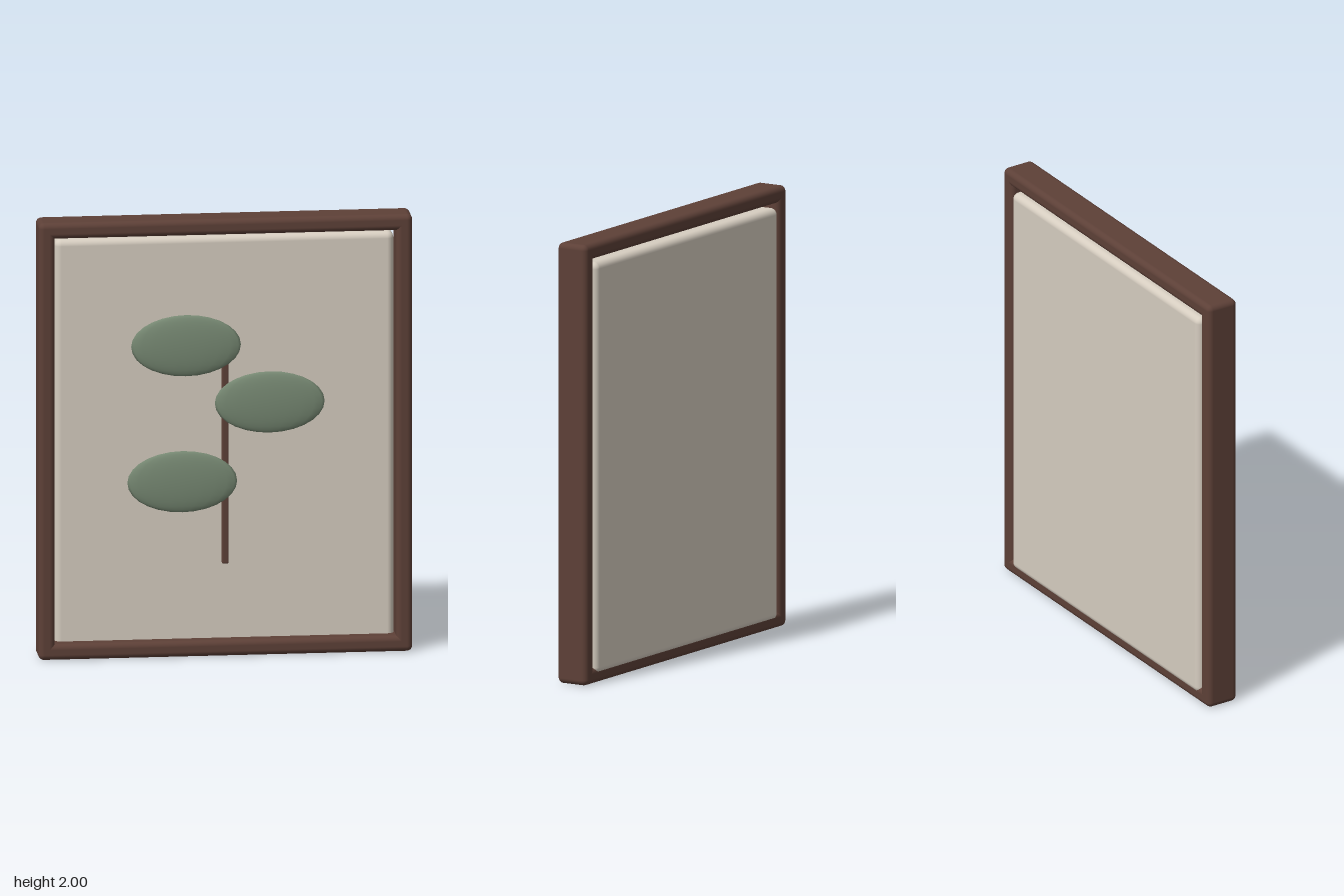
import * as THREE from 'three';
import { RoundedBoxGeometry } from 'three/addons/geometries/RoundedBoxGeometry.js';

const wood = new THREE.MeshStandardMaterial({ color: 0x5d4037 });
const paper = new THREE.MeshStandardMaterial({ color: 0xd6cdc0 });
const green = new THREE.MeshStandardMaterial({ color: 0x788a74 });

export function createModel() {
  const model = new THREE.Group();

  const add = (name, geometry, material, x, y, z) => {
    const mesh = new THREE.Mesh(geometry, material);
    mesh.name = name;
    mesh.position.set(x, y, z);
    model.add(mesh);
    return mesh;
  };
  const block = (w, h, d, r) => new RoundedBoxGeometry(w, h, d, 4, r);

  // Frame: two full-height stiles and two full-width rails
  const W = 1.675, H = 2, D = 0.154, bar = 0.073, zFrame = -0.017;
  for (const s of [-1, 1]) {
    const side = s > 0 ? 'left' : 'right';
    add(side + 'Stile', block(bar, H, D, 0.025), wood, s * (W - bar) / 2, H / 2, zFrame);
    add(s > 0 ? 'topRail' : 'bottomRail', block(W, bar, D, 0.025), wood,
      0, H / 2 + s * (H - bar) / 2, zFrame);
  }

  // Backing panel, sitting a little low so a slit is left under the top rail
  add('panel', block(1.52, 1.87, 0.1, 0.03), paper, 0, 0.975, -0.05);

  // Stem
  add('stem', block(0.03, 1.07, 0.03, 0.007), wood, 0, 0.955, 0.03);

  // Flat oval leaves
  const leafShape = new THREE.SphereGeometry(1, 20, 14);
  for (const [x, y] of [[-0.18, 1.43], [0.195, 1.163], [-0.197, 0.808]]) {
    add('leaf', leafShape, green, x, y, 0.073).scale.set(0.246, 0.14, 0.026);
  }

  return model;
}
